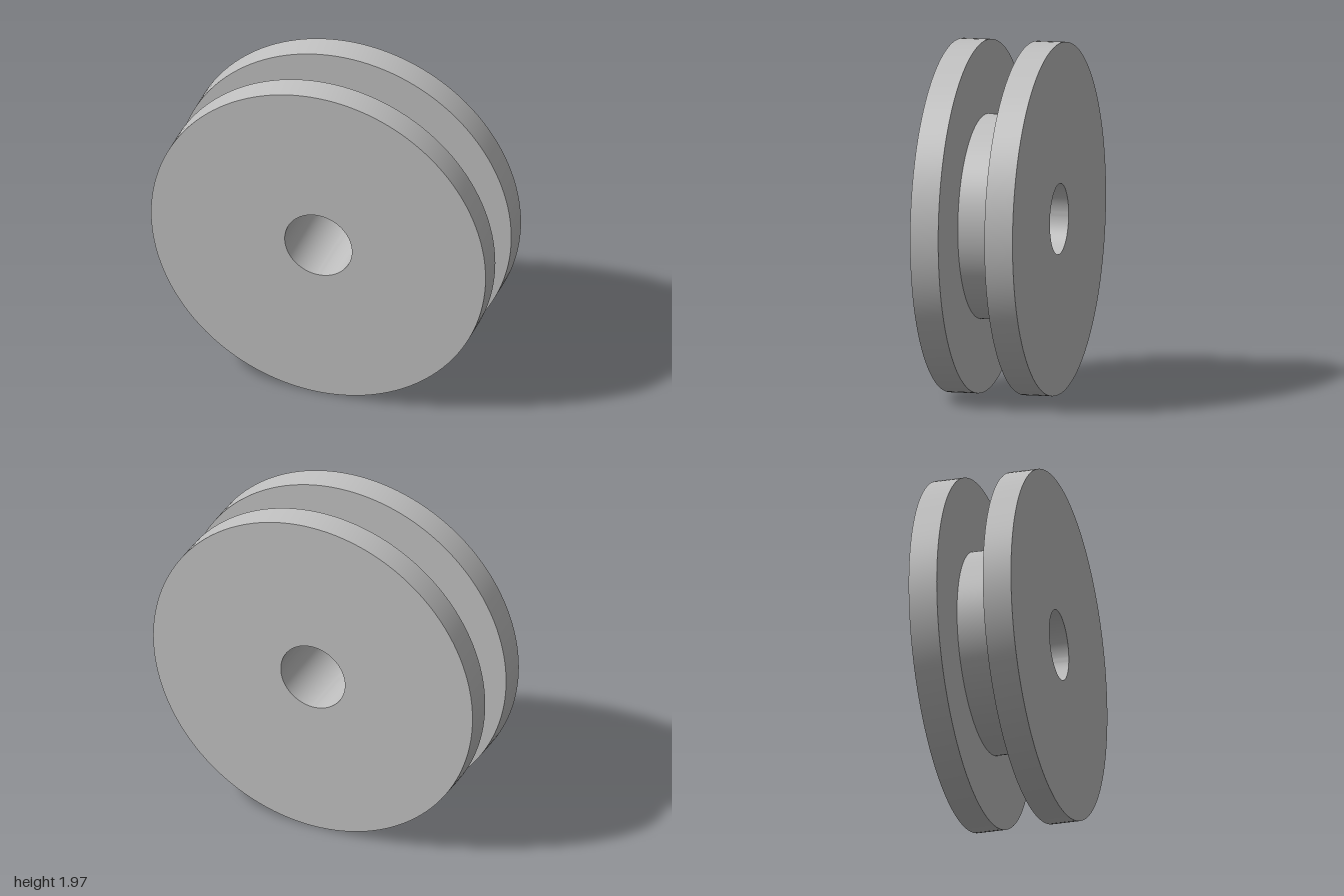
import * as THREE from 'three';
import { toCreasedNormals } from 'three/addons/utils/BufferGeometryUtils.js';

const FLANGE_R = 0.985, HUB_R = 0.571, BORE_R = 0.198;
const OUTER = 0.295, INNER = 0.133; // half width of the spool and of its groove

export function createModel() {
  const group = new THREE.Group();
  group.name = 'spool';
  const grey = new THREE.MeshStandardMaterial({ color: 0xc0c0c0 });
  grey.name = 'grey';

  // Revolve a [radius, height] profile around the spool axis
  const revolve = (name, profile) => {
    const points = profile.map(([r, h]) => new THREE.Vector2(r, h));
    const geometry = toCreasedNormals(new THREE.LatheGeometry(points, 128), 0.5);
    const mesh = new THREE.Mesh(geometry, grey);
    mesh.name = name;
    group.add(mesh);
  };

  // Two flanges, each open where it meets the hub and the bore
  revolve('leftFlange', [[HUB_R, INNER], [FLANGE_R, INNER], [FLANGE_R, OUTER], [BORE_R, OUTER]]);
  revolve('rightFlange', [[BORE_R, -OUTER], [FLANGE_R, -OUTER], [FLANGE_R, -INNER], [HUB_R, -INNER]]);

  // Hub between the flanges and the bore through everything
  revolve('hub', [[HUB_R, -INNER], [HUB_R, INNER]]);
  revolve('bore', [[BORE_R, OUTER], [BORE_R, -OUTER]]);

  // Lay the axis level, turned 30 degrees about the vertical
  group.rotation.set(0, Math.PI / 6, -Math.PI / 2);
  group.rotation.order = 'YXZ';
  group.position.y = FLANGE_R;
  return group;
}
